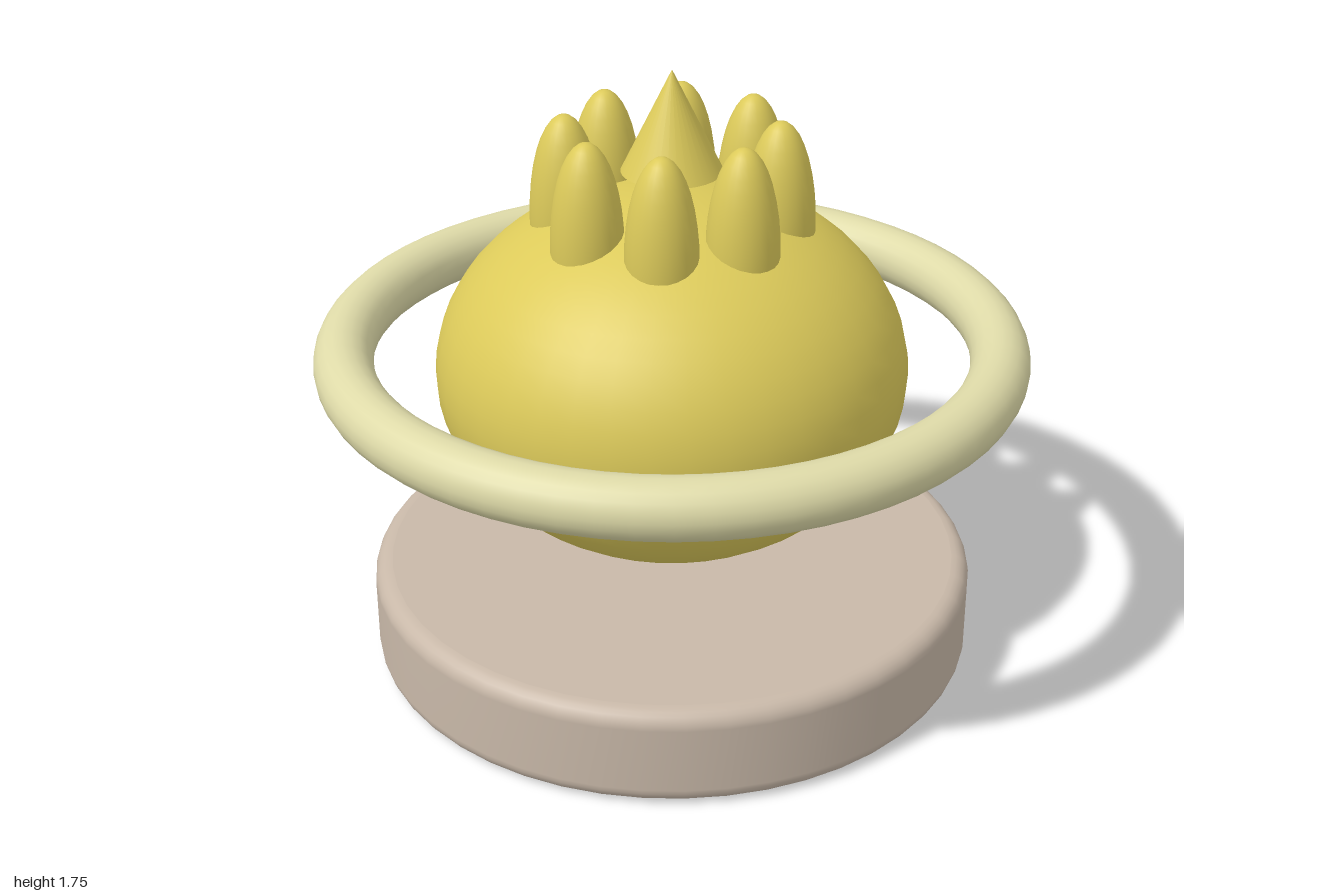
import * as THREE from 'three';

export function createModel() {
  const model = new THREE.Group();
  const paint = (name, color) => {
    const m = new THREE.MeshStandardMaterial({ color });
    m.name = name;
    return m;
  };
  const gold = paint('gold', 0xdcca5a);
  const cream = paint('cream', 0xdedaa8);
  const stone = paint('stone', 0xc8b8a8);

  const add = (name, geometry, material, x, y, z) => {
    const mesh = new THREE.Mesh(geometry, material);
    mesh.name = name;
    mesh.position.set(x, y, z);
    model.add(mesh);
    return mesh;
  };

  // Round base with softened rims
  const R = 0.87, H = 0.29, r = 0.05;
  const profile = [new THREE.Vector2(0, 0), new THREE.Vector2(R - r - 0.001, 0)];
  for (const [cy, start] of [[r, -Math.PI / 2], [H - r, 0]]) {
    for (let i = 0; i <= 6; i++) {
      const a = start + (i / 6) * Math.PI / 2;
      profile.push(new THREE.Vector2(R - r + r * Math.cos(a), cy + r * Math.sin(a)));
    }
  }
  profile.push(new THREE.Vector2(R - r - 0.001, H), new THREE.Vector2(0, H));
  add('base', new THREE.LatheGeometry(profile, 48), stone, 0, 0, 0);

  // Flattened globe floating above the base
  add('body', new THREE.SphereGeometry(1, 40, 28), gold, 0, 0.88, 0).scale.set(0.665, 0.52, 0.665);

  // Ring around the body
  const ring = new THREE.TorusGeometry(0.917, 0.083, 20, 64).rotateX(Math.PI / 2);
  add('ring', ring, cream, 0, 0.943, 0);

  // Crown of eight buds
  const bud = new THREE.SphereGeometry(1, 24, 18).scale(0.1, 0.295, 0.1);
  for (let i = 0; i < 8; i++) {
    const a = (i * Math.PI) / 4;
    add('crownBud', bud, gold, 0.293 * Math.sin(a), 1.32, 0.293 * Math.cos(a));
  }

  // Central spike
  add('spike', new THREE.ConeGeometry(0.14, 0.285, 32), gold, 0, 1.6075, 0);

  return model;
}
